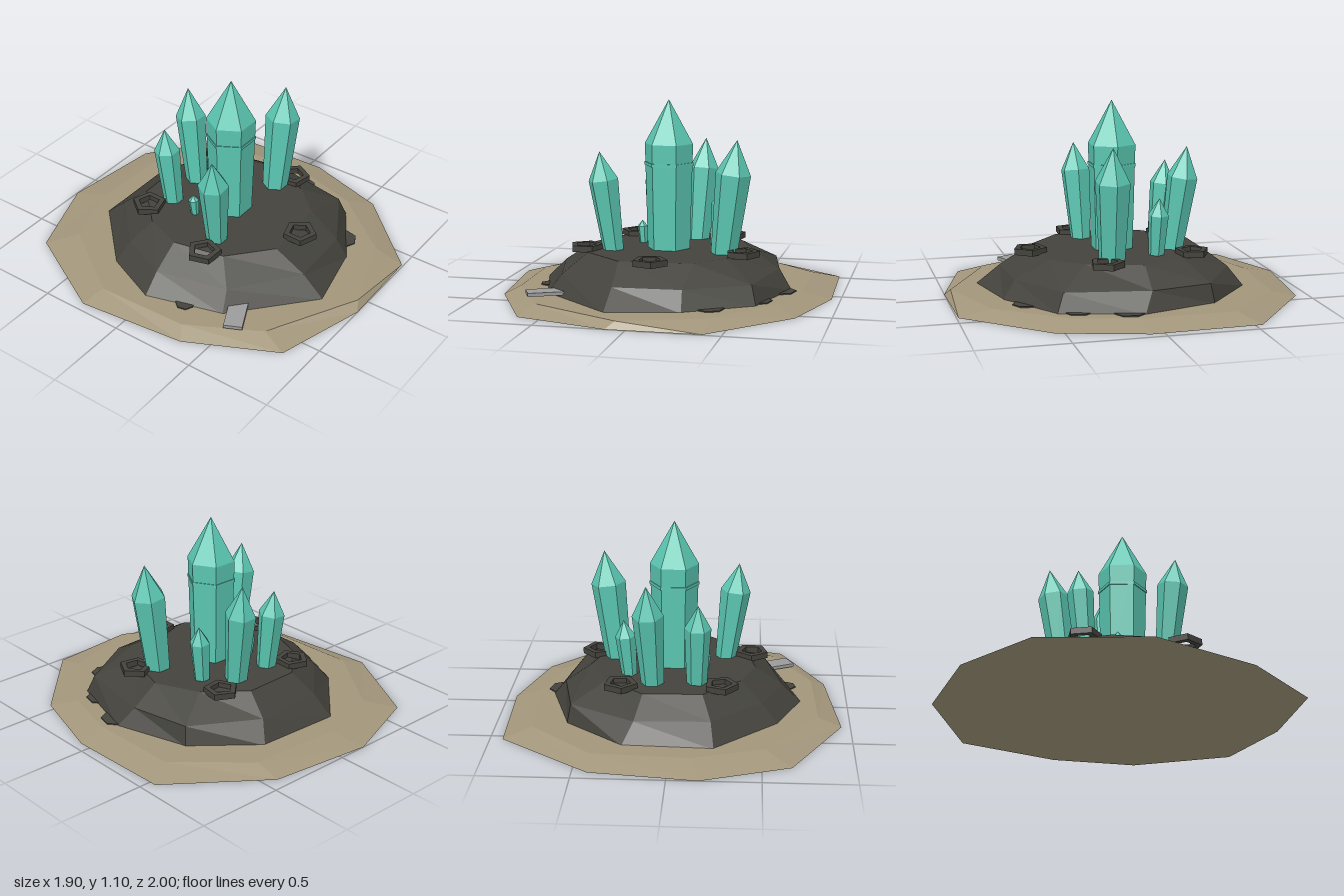
import * as THREE from 'three';

const flat = (name, color) => {
  const m = new THREE.MeshStandardMaterial({ color, flatShading: true });
  m.name = name;
  return m;
};

// Closed faceted solid through stacked [x, z] outlines, lowest first
function stackedSolid(levels) {
  const pos = [];
  const tri = (...pts) => pts.forEach(p => pos.push(...p));
  const rings = levels.map(({ y, pts }) => pts.map(([x, z]) => [x, y, z]));
  const n = rings[0].length, last = rings.length - 1;
  for (let i = 0; i < n; i++) {
    const j = (i + 1) % n;
    for (let k = 0; k < last; k++) {
      const a = rings[k], b = rings[k + 1];
      tri(a[i], b[i], b[j]);
      tri(a[i], b[j], a[j]);
    }
    tri([0, levels[0].y, 0], rings[0][i], rings[0][j]);
    tri([0, levels[last].y, 0], rings[last][j], rings[last][i]);
  }
  const g = new THREE.BufferGeometry();
  g.setAttribute('position', new THREE.Float32BufferAttribute(pos, 3));
  g.computeVertexNormals();
  return g;
}

export function createModel() {
  const model = new THREE.Group();
  model.name = 'crystalMound';
  const sand = flat('sand', 0xa2967b);
  const rock = flat('darkRock', 0x43423c);
  const teal = flat('tealCrystal', 0x5ac6b1);
  const grey = flat('greyStone', 0x9b9b9b);

  const add = (parent, name, geometry, material, x = 0, y = 0, z = 0) => {
    const m = new THREE.Mesh(geometry, material);
    m.name = name;
    m.position.set(x, y, z);
    parent.add(m);
    return m;
  };

  // Sandy ground plate
  add(model, 'ground', stackedSolid([
    { y: 0, pts: [[-0.17, -1], [0.42, -0.93], [0.93, -0.54], [0.95, 0.07], [0.81, 0.55], [0.4, 0.99],
      [-0.11, 1], [-0.63, 0.85], [-0.88, 0.35], [-0.95, -0.28], [-0.66, -0.82]] },
    { y: 0.04, pts: [[-0.12, -0.81], [0.42, -0.78], [0.78, -0.45], [0.79, 0.09], [0.7, 0.43], [0.4, 0.81],
      [-0.06, 0.97], [-0.58, 0.7], [-0.8, 0.3], [-0.82, -0.24], [-0.52, -0.68]] },
  ]), sand);

  // Rock mound
  add(model, 'mound', stackedSolid([
    { y: 0.035, pts: [[-0.24, -0.69], [0.26, -0.67], [0.59, -0.39], [0.72, 0.04], [0.59, 0.49],
      [0.23, 0.72], [-0.17, 0.81], [-0.6, 0.43], [-0.73, -0.01], [-0.59, -0.34]] },
    { y: 0.145, pts: [[-0.22, -0.57], [0.2, -0.59], [0.57, -0.37], [0.64, -0.02], [0.56, 0.45],
      [0.22, 0.65], [-0.16, 0.67], [-0.52, 0.4], [-0.62, -0.01], [-0.5, -0.3]] },
    { y: 0.25, pts: [[-0.17, -0.44], [0.16, -0.45], [0.38, -0.27], [0.49, -0.02], [0.39, 0.29],
      [0.24, 0.46], [-0.17, 0.49], [-0.4, 0.29], [-0.46, -0.01], [-0.38, -0.23]] },
  ]), rock);

  // Flat stones half buried around the mound
  [[-0.65, 0.21, 0.055], [0.66, 0.11, 0.095], [0.57, 0.37, 0.09], [0.36, 0.61, 0.08]].forEach(([x, z, r]) =>
    add(model, 'buriedStone', new THREE.CylinderGeometry(r, r, 0.02, 7), rock, x, 0.036, z));

  // Pale slab tucked under the mound edge
  const slab = add(model, 'slab', new THREE.BoxGeometry(0.26, 0.02, 0.105), grey, -0.56, 0.06, 0.497);
  slab.rotation.y = 0.45;

  // Five-sided rock rings on the mound
  const pentagon = (r, Type) => new Type(Array.from({ length: 5 }, (_, i) => {
    const a = i / 5 * Math.PI * 2;
    return new THREE.Vector2(r * Math.cos(a), r * Math.sin(a));
  }));
  const ringShape = pentagon(0.098, THREE.Shape);
  ringShape.holes.push(pentagon(0.062, THREE.Path));
  const ringGeo = new THREE.ExtrudeGeometry(ringShape, { depth: 0.035, bevelEnabled: false });
  ringGeo.rotateX(-Math.PI / 2);
  [[-0.27, -0.34], [0.29, -0.35], [-0.44, 0.185], [0.46, 0.185], [0.015, 0.525]].forEach(([x, z], i) => {
    add(model, 'rockRing', ringGeo, rock, x, 0.243, z).rotation.y = 0.6 + i * 1.1;
  });

  // Hexagonal crystals: base point, tip point, shoulder height, radius, taper
  const up = new THREE.Vector3(0, 1, 0);
  function crystal(name, base, tip, shoulder, r, taper) {
    const a = new THREE.Vector3(base[0], 0.23, base[1]);
    const axis = new THREE.Vector3(...tip).sub(a);
    const total = axis.length();
    const body = total * (shoulder - 0.23) / (tip[1] - 0.23);
    const g = new THREE.Group();
    g.name = name;
    g.position.copy(a);
    g.quaternion.setFromUnitVectors(up, axis.normalize());
    const prism = new THREE.CylinderGeometry(r, r * taper, body, 6, 1, true).rotateY(Math.PI / 6);
    const point = new THREE.ConeGeometry(r, total - body, 6, 1, true).rotateY(Math.PI / 6);
    add(g, 'crystalBody', prism, teal, 0, body / 2, 0);
    add(g, 'crystalTip', point, teal, 0, (total + body) / 2, 0);
    model.add(g);
    return g;
  }
  const main = crystal('mainCrystal', [0.01, 0.045], [0.01, 1.1, 0.045], 0.85, 0.14, 0.88);
  const band = new THREE.CylinderGeometry(0.142, 0.142, 0.018, 6).rotateY(Math.PI / 6);
  add(main, 'crystalBand', band, teal, 0, 0.505, 0);
  crystal('leftFrontCrystal', [-0.285, 0.16], [-0.36, 0.81, 0.185], 0.65, 0.087, 0.68);
  crystal('rightFrontCrystal', [0.345, 0.13], [0.42, 0.89, 0.14], 0.7, 0.1, 0.74);
  crystal('backCrystal', [0.115, -0.28], [0.145, 0.84, -0.36], 0.665, 0.088, 0.72);
  crystal('backLeftCrystal', [-0.132, -0.265], [-0.14, 0.72, -0.315], 0.585, 0.075, 0.75);
  crystal('backRightCrystal', [0.255, -0.15], [0.285, 0.575, -0.16], 0.48, 0.058, 0.75);
  crystal('tinyCrystal', [-0.168, -0.08], [-0.178, 0.38, -0.086], 0.345, 0.031, 0.7);

  return model;
}
